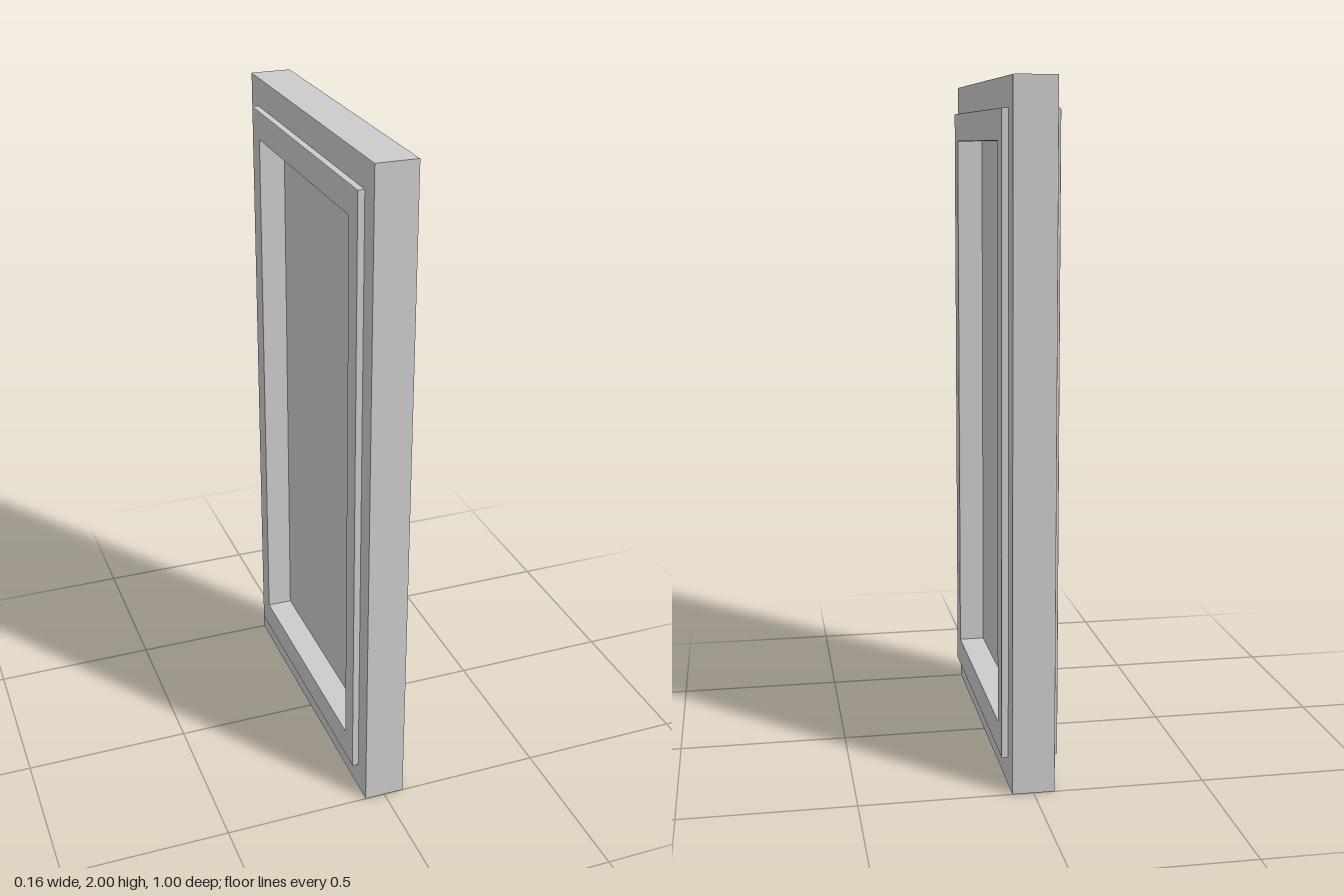
import * as THREE from 'three';

const CENTRE_Y = 1;

// Rectangle outline centred on the middle of the door
function rectangle(PathType, halfW, halfH) {
  const path = new PathType();
  path.moveTo(-halfW, -halfH);
  path.lineTo(halfW, -halfH);
  path.lineTo(halfW, halfH);
  path.lineTo(-halfW, halfH);
  path.closePath();
  return path;
}

// Rectangular ring lying in the yz plane, with softened edges
function ring(name, outer, inner, thickness, bevel, material) {
  const shape = rectangle(THREE.Shape, ...outer);
  shape.holes.push(rectangle(THREE.Path, ...inner));
  const geometry = new THREE.ExtrudeGeometry(shape, {
    depth: thickness - 2 * bevel,
    bevelEnabled: true,
    bevelThickness: bevel,
    bevelSize: bevel,
    bevelOffset: -bevel,
    bevelSegments: 2,
  });
  geometry.translate(0, 0, bevel - thickness / 2);
  geometry.rotateY(Math.PI / 2);
  const mesh = new THREE.Mesh(geometry, material);
  mesh.name = name;
  mesh.position.y = CENTRE_Y;
  return mesh;
}

export function createModel() {
  const group = new THREE.Group();
  group.name = 'panelDoor';
  const material = new THREE.MeshStandardMaterial({ color: 0xcccccc });

  // Outer frame
  group.add(ring('outerFrame', [0.5, 1], [0.42, 0.9], 0.124, 0.003, material));

  // Raised trim standing proud on both faces
  group.add(ring('raisedTrim', [0.437, 0.915], [0.373, 0.828], 0.164, 0.004, material));

  // Thin recessed panel in the middle of the opening
  const panel = new THREE.Mesh(new THREE.BoxGeometry(0.006, 1.68, 0.77), material);
  panel.name = 'recessedPanel';
  panel.position.y = CENTRE_Y;
  group.add(panel);

  return group;
}
